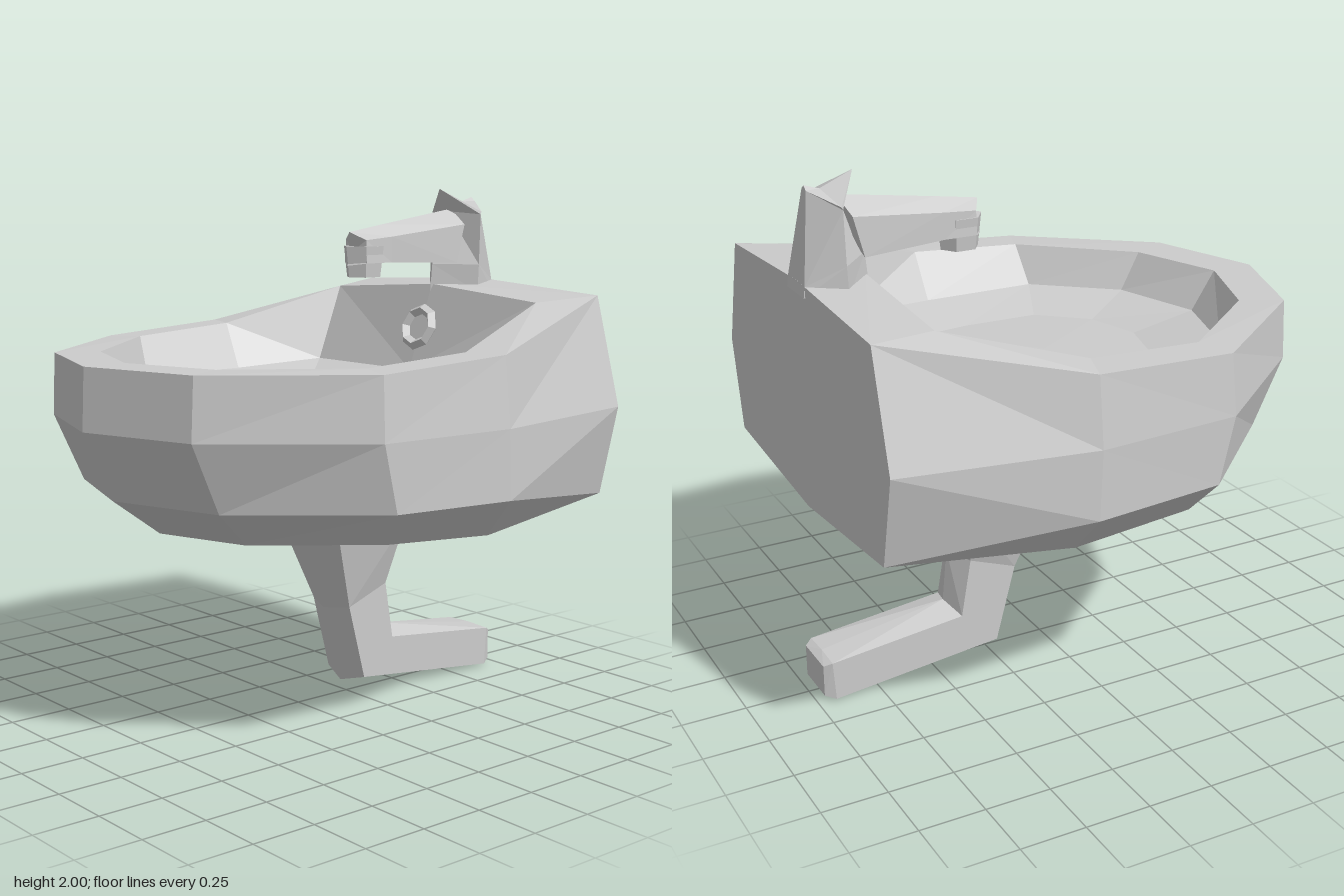
import * as THREE from 'three';

const material = new THREE.MeshStandardMaterial({ color: 0xcccccc, flatShading: true, side: THREE.DoubleSide });

// Closed faceted loft through cross-sections. Each section lists its +x half,
// from centre line to centre line; the other half is mirrored.
function loft(name, halves) {
  const rings = halves.map((half) => {
    const pts = half.map((p) => new THREE.Vector3(...p));
    const mirrored = pts.slice(1, -1).reverse().map((p) => new THREE.Vector3(-p.x, p.y, p.z));
    return [...pts, ...mirrored];
  });
  const n = rings[0].length;
  const tris = [];
  const add = (a, b, c) => {
    const area = b.clone().sub(a).cross(c.clone().sub(a)).length();
    if (area > 1e-7) tris.push([a, b, c]);
  };
  for (let s = 0; s < rings.length - 1; s++) {
    for (let i = 0; i < n; i++) {
      const j = (i + 1) % n;
      const a = rings[s][i], b = rings[s][j], c = rings[s + 1][j], d = rings[s + 1][i];
      // the diagonal is mirrored too
      if (i < n / 2) { add(a, b, d); add(b, c, d); } else { add(a, b, c); add(a, c, d); }
    }
  }
  // End caps
  const centre = (ring) => ring.reduce((m, p) => m.addScaledVector(p, 1 / n), new THREE.Vector3());
  const first = rings[0], last = rings[rings.length - 1];
  const c0 = centre(first), c1 = centre(last);
  for (let i = 0; i < n; i++) {
    const j = (i + 1) % n;
    add(c0, first[j], first[i]);
    add(c1, last[i], last[j]);
  }
  // Make the faces point outwards
  const volume = tris.reduce((v, [a, b, c]) => v + a.dot(b.clone().cross(c)), 0);
  const ordered = tris.flatMap(([a, b, c]) => (volume < 0 ? [a, c, b] : [a, b, c]));
  const geometry = new THREE.BufferGeometry().setFromPoints(ordered);
  geometry.computeVertexNormals();
  const mesh = new THREE.Mesh(geometry, material);
  mesh.name = name;
  return mesh;
}

export function createModel() {
  const group = new THREE.Group();
  group.name = 'washbasin';

  // Basin: from the bowl floor, up over the rim, down the outside to the pipe
  group.add(loft('basin', [
    [[0, 1.21, 0.42], [0.22, 1.21, 0.36], [0.38, 1.21, 0.18], [0.39, 1.21, -0.12], [0.34, 1.22, -0.34], [0, 1.22, -0.36]],
    [[0, 1.26, 0.69], [0.36, 1.26, 0.58], [0.61, 1.26, 0.28], [0.615, 1.26, -0.18], [0.54, 1.28, -0.56], [0, 1.28, -0.58]],
    [[0, 1.41, 0.79], [0.36, 1.41, 0.66], [0.69, 1.415, 0.26], [0.71, 1.44, -0.19], [0.57, 1.58, -0.7], [0, 1.62, -0.7]],
    [[0, 1.41, 0.96], [0.44, 1.41, 0.81], [0.83, 1.41, 0.31], [0.86, 1.44, -0.24], [0.65, 1.6, -0.96], [0, 1.635, -0.96]],
    [[0, 1.18, 0.97], [0.44, 1.18, 0.82], [0.85, 1.18, 0.32], [0.89, 1.18, -0.24], [0.77, 1.18, -0.96], [0, 1.18, -0.96]],
    [[0, 0.92, 0.85], [0.43, 0.92, 0.7], [0.85, 0.93, 0.26], [0.89, 0.92, -0.25], [0.69, 0.83, -0.96], [0, 0.77, -0.96]],
    [[0, 0.775, 0.65], [0.37, 0.78, 0.54], [0.74, 0.8, 0.21], [0.76, 0.77, -0.27], [0.69, 0.83, -0.96], [0, 0.77, -0.96]],
    [[0, 0.71, 0.01], [0.1, 0.71, -0.02], [0.18, 0.71, -0.05], [0.18, 0.71, -0.25], [0.18, 0.71, -0.4], [0, 0.71, -0.45]],
  ]));

  // Drain pipe bending back to the wall
  group.add(loft('drainPipe', [
    [[0, 0.71, 0.01], [0.18, 0.71, -0.05], [0.18, 0.71, -0.4], [0, 0.71, -0.45]],
    [[0, 0.365, -0.13], [0.11, 0.38, -0.17], [0.11, 0.45, -0.36], [0, 0.46, -0.41]],
    [[0, 0.05, -0.22], [0.11, 0.08, -0.25], [0.11, 0.22, -0.4], [0, 0.25, -0.43]],
    [[0, 0, -0.93], [0.11, 0.005, -0.93], [0.11, 0.16, -0.94], [0, 0.165, -0.94]],
    [[0, 0.02, -0.97], [0.09, 0.02, -0.97], [0.09, 0.145, -0.97], [0, 0.145, -0.97]],
  ]));

  // Tap: column with a peaked top, tapering spout and hexagonal nozzle
  const tap = new THREE.Group();
  tap.name = 'tap';
  tap.add(loft('tapColumn', [
    [[0, 1.59, -0.69], [0.14, 1.59, -0.82], [0.08, 1.59, -0.965], [0, 1.59, -0.965]],
    [[0, 1.7, -0.7], [0.14, 1.7, -0.825], [0.08, 1.63, -0.96], [0, 1.63, -0.96]],
    [[0, 1.91, -0.78], [0.14, 1.9, -0.83], [0.02, 1.95, -0.915], [0, 1.965, -0.915]],
    [[0, 2, -0.735], [0.14, 1.91, -0.835], [0.02, 1.95, -0.915], [0, 1.965, -0.915]],
  ]));
  tap.add(loft('spout', [
    [[0, 1.92, -0.8], [0.1, 1.86, -0.78], [0.1, 1.71, -0.74], [0, 1.71, -0.72]],
    [[0, 1.865, -0.42], [0.065, 1.82, -0.42], [0.065, 1.72, -0.42], [0, 1.72, -0.42]],
    [[0, 1.84, -0.255], [0.06, 1.81, -0.29], [0.065, 1.72, -0.29], [0, 1.71, -0.245]],
  ]));
  const nozzle = new THREE.Mesh(new THREE.CylinderGeometry(0.09, 0.075, 0.12, 6), material);
  nozzle.name = 'nozzle';
  nozzle.scale.x = 0.85;
  nozzle.position.set(0, 1.725, -0.33);
  tap.add(nozzle);
  group.add(tap);

  // Overflow opening on the back wall of the bowl
  const overflow = new THREE.Group();
  overflow.name = 'overflow';
  const ring = new THREE.Mesh(new THREE.TorusGeometry(0.075, 0.022, 4, 8), material);
  ring.name = 'overflowRing';
  const plate = new THREE.Mesh(new THREE.CircleGeometry(0.075, 8), material);
  plate.name = 'overflowPlate';
  overflow.add(ring, plate);
  overflow.position.set(0, 1.45, -0.63);
  overflow.rotation.x = -0.34;
  group.add(overflow);

  return group;
}
